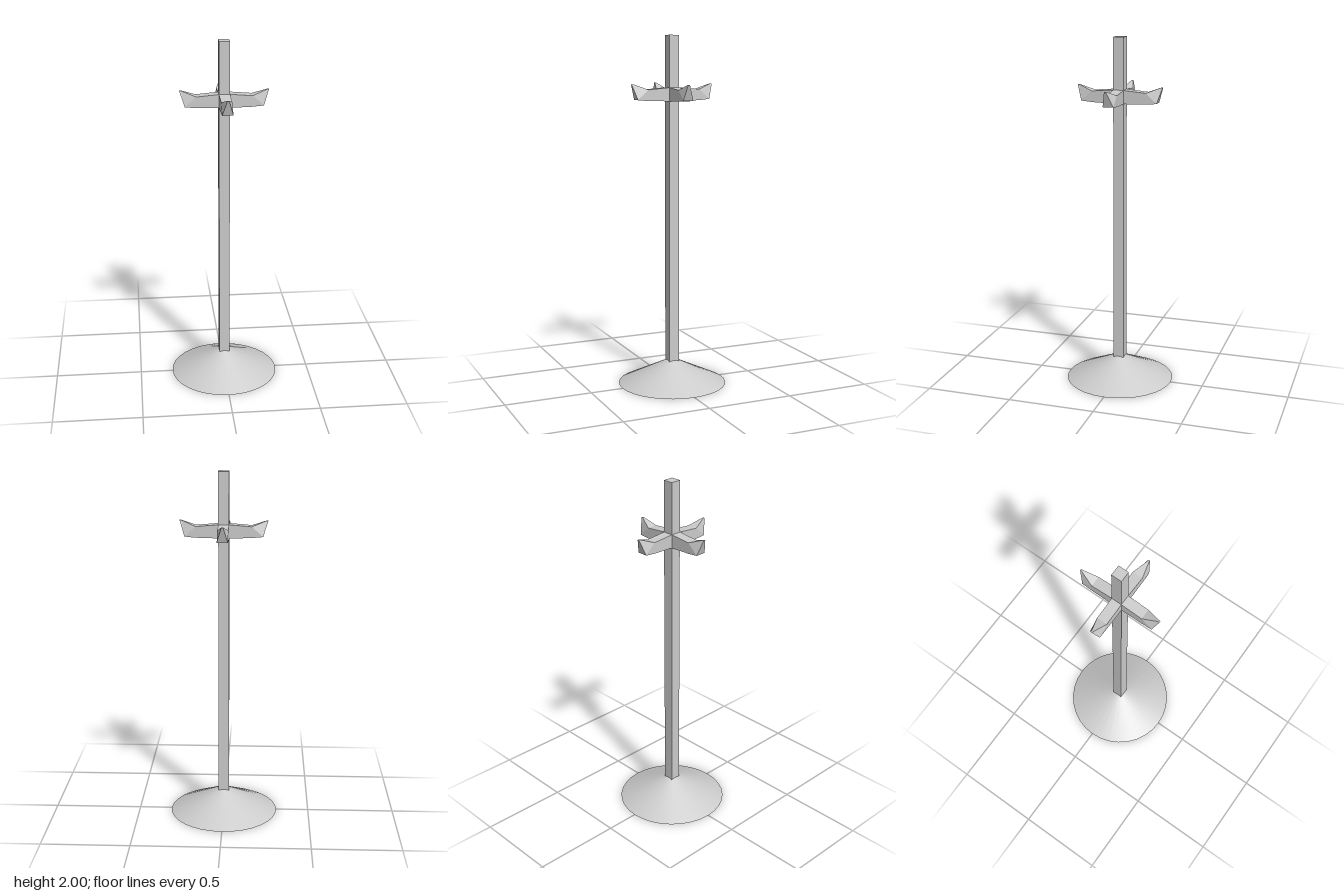
import * as THREE from 'three';

const smooth = new THREE.MeshStandardMaterial({ color: 0xcccccc });
const flat = new THREE.MeshStandardMaterial({ color: 0xcccccc, flatShading: true });

const HALF = 0.03; // half thickness of post and arms
const TIP = 0.005; // half width of the pointed tip

// One arm along +x, lofted through four-cornered sections
function armGeometry(skew) {
  // each section: bottom x, bottom y, top x, top y, half width of the top, sideways shift of the top
  const sections = [
    [0, 1.634, 0, 1.713, HALF, 0],
    [0.155, 1.638, 0.155, 1.7, HALF, 0],
    [0.217, 1.644, 0.235, 1.73, TIP, skew],
    [0.217, 1.644, 0.245, 1.73, TIP, skew],
  ].map(([bx, by, tx, ty, w, s]) => [
    new THREE.Vector3(bx, by, HALF),
    new THREE.Vector3(tx, ty, s + w),
    new THREE.Vector3(tx, ty, s - w),
    new THREE.Vector3(bx, by, -HALF),
  ]);
  const points = [];
  const tri = (a, b, c) => {
    if (new THREE.Triangle(a, b, c).getArea() > 1e-9) points.push(a, b, c);
  };
  for (let i = 0; i < sections.length - 1; i++) {
    for (let k = 0; k < 4; k++) {
      const n = (k + 1) % 4;
      const a = sections[i][k], b = sections[i + 1][k];
      const c = sections[i + 1][n], d = sections[i][n];
      // folds run from the top edge down to the lower end corner on both sides
      if (k === 2) { tri(a, b, c); tri(a, c, d); } else { tri(a, b, d); tri(b, c, d); }
    }
  }
  // sloping end face
  const [b1, t1, t2, b2] = sections[sections.length - 1];
  tri(b1, b2, t2);
  tri(b1, t2, t1);
  const geometry = new THREE.BufferGeometry().setFromPoints(points);
  geometry.computeVertexNormals();
  return geometry;
}

export function createModel() {
  const model = new THREE.Group();
  model.name = 'coatStand';
  const add = (name, geometry, material, y = 0) => {
    const mesh = new THREE.Mesh(geometry, material);
    mesh.name = name;
    mesh.position.y = y;
    model.add(mesh);
    return mesh;
  };

  // Conical foot
  add('base', new THREE.ConeGeometry(0.311, 0.15, 32), smooth, 0.075);

  // Square post
  add('post', new THREE.BoxGeometry(2 * HALF, 1.99, 2 * HALF), flat, 1.005);

  // Four upturned pegs crossing at the post
  ['left', 'back', 'right', 'front'].forEach((side, i) => {
    add(side + 'Arm', armGeometry(i === 0 ? 0.008 : 0), flat).rotation.y = (i * Math.PI) / 2;
  });

  return model;
}
